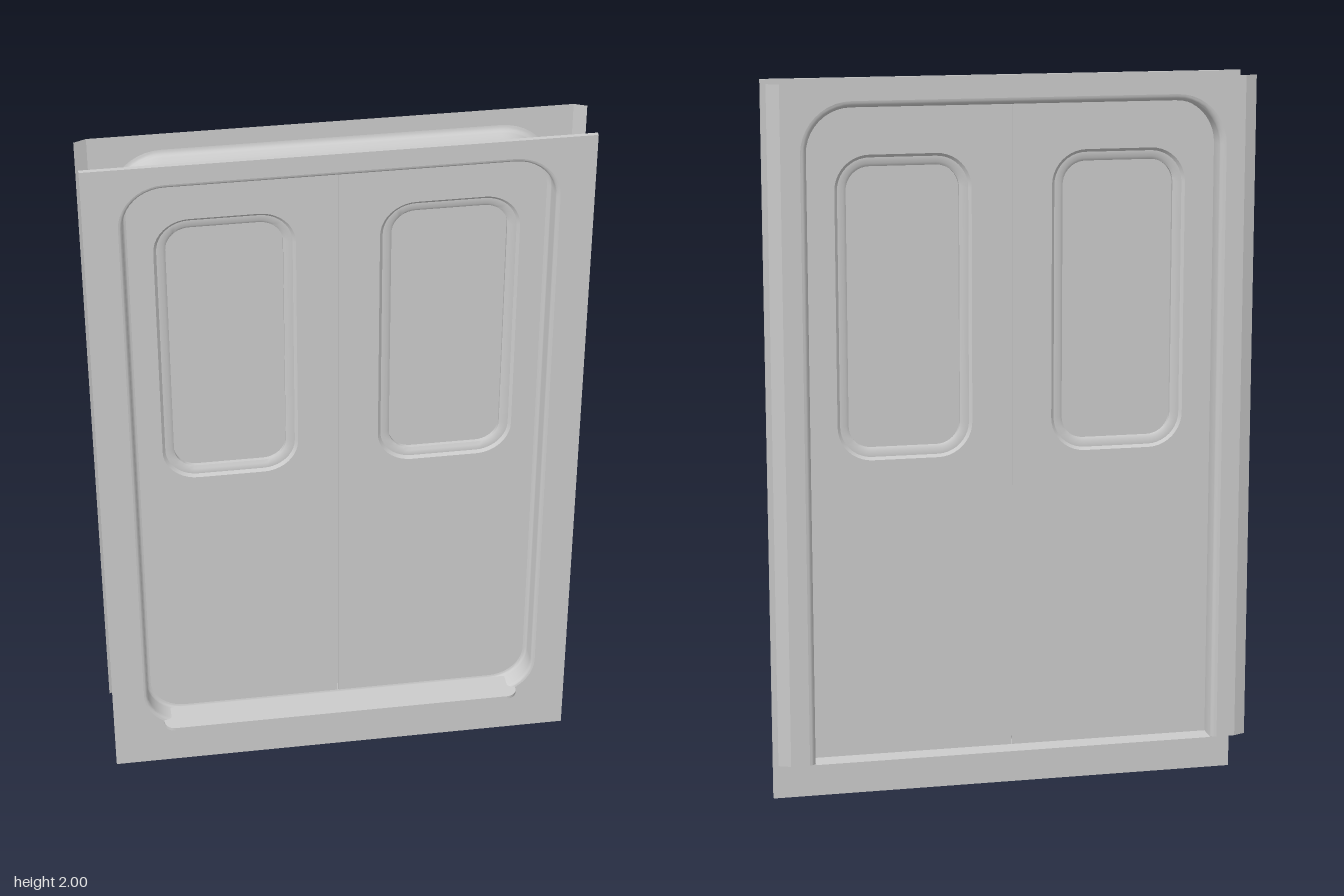
import * as THREE from 'three';
import { toCreasedNormals } from 'three/addons/utils/BufferGeometryUtils.js';

const mat = new THREE.MeshStandardMaterial({ color: 0xcccccc, side: THREE.DoubleSide });

// Rounded rectangle outline; "arch" leaves the bottom square and open
function outline(x0, x1, y0, y1, r, arch = false) {
  const pts = [];
  const corner = (cx, cy, a) => {
    for (let i = 0; i <= 10; i++) {
      const t = a + (i / 10) * Math.PI / 2;
      pts.push(new THREE.Vector2(cx + r * Math.cos(t), cy + r * Math.sin(t)));
    }
  };
  if (arch) pts.push(new THREE.Vector2(x1, y0));
  corner(x1 - r, y1 - r, 0);
  corner(x0 + r, y1 - r, Math.PI / 2);
  if (arch) pts.push(new THREE.Vector2(x0, y0));
  else {
    corner(x0 + r, y0 + r, Math.PI);
    corner(x1 - r, y0 + r, Math.PI * 1.5);
  }
  return pts;
}

// Skin through copies of an outline, each grown by an offset and set at a depth
function loft([x0, x1, y0, y1, r], profile, arch = false) {
  const pos = [], index = [];
  let n = 0;
  for (const [o, z] of profile) {
    const ring = outline(x0 - o, x1 + o, arch ? y0 : y0 - o, y1 + o, r + o, arch);
    n = ring.length;
    ring.forEach((p) => pos.push(p.x, p.y, z));
  }
  for (let j = 0; j < profile.length - 1; j++) {
    for (let i = 0; i < (arch ? n - 1 : n); i++) {
      const a = j * n + i, b = j * n + (i + 1) % n;
      index.push(a, b, b + n, a, b + n, a + n);
    }
  }
  const g = new THREE.BufferGeometry();
  g.setAttribute('position', new THREE.Float32BufferAttribute(pos, 3));
  g.setIndex(index);
  g.computeVertexNormals();
  return toCreasedNormals(g, 0.6);
}

// Quarter-round steps of a profile
function fillet(o, z, ro, rz, a0, a1) {
  return Array.from({ length: 6 }, (_, i) => {
    const t = a0 + (a1 - a0) * i / 5;
    return [o + ro * Math.cos(t), z + rz * Math.sin(t)];
  });
}

export function createModel() {
  const model = new THREE.Group();
  model.name = 'doubleDoorway';
  const add = (name, geo, parent = model) => {
    const m = new THREE.Mesh(geo, mat);
    m.name = name;
    parent.add(m);
    return m;
  };
  const Q = Math.PI / 2;
  const frontRect = [-0.558, 0.558, 0.143, 1.935, 0.11];
  const backRect = [-0.56, 0.56, 0.143, 1.935, 0.12];
  const grow = ([x0, x1, y0, y1, r], o) => [x0 - o, x1 + o, y0 - o, y1 + o, r + o];

  // Front plate with its rounded opening
  const plate = new THREE.Shape(
    [[-0.66, 0], [0.66, 0], [0.66, 2], [-0.66, 2]].map((p) => new THREE.Vector2(...p)));
  plate.holes.push(new THREE.Path(outline(...grow(frontRect, 0.012))));
  add('frontPlate', new THREE.ExtrudeGeometry(plate, { depth: 0.012, bevelEnabled: false }))
    .position.z = 0.05;

  // Pressed reveal from the front plate back to the doors
  add('frontReveal', loft(frontRect, [
    ...fillet(0.012, 0.05, 0.012, 0.012, Q, Math.PI),
    ...fillet(-0.012, 0.015, 0.012, 0.012, 0, -Q)]));

  // Back flange, open at the bottom
  const flange = new THREE.Shape([
    [0.63, 0.143], [0.63, 2], [-0.63, 2], [-0.63, 0.143],
  ].map((p) => new THREE.Vector2(...p)).concat(
    outline(-0.578, 0.578, 0.143, 1.953, 0.138, true).reverse()));
  add('backFlange', new THREE.ShapeGeometry(flange)).position.z = -0.102;
  for (const s of [-1, 1]) {
    // Bent outer edge of the flange
    const edge = new THREE.PlaneGeometry(Math.hypot(0.033, 0.014), 1.857);
    edge.rotateY(-s * Math.atan2(0.014, 0.033));
    edge.translate(s * 0.6465, 1.0715, -0.095);
    add(s > 0 ? 'leftFlangeEdge' : 'rightFlangeEdge', edge);
  }

  // Reveal from the back flange forward to the doors
  add('backReveal', loft(backRect, [
    ...fillet(0.018, -0.084, 0.018, 0.018, -Q, -Math.PI),
    [0, -0.042]], true));

  // Door skins, split at the middle, with a window opening in each
  const win = [0.11, 0.48, 0.977, 1.805, 0.095];
  const mirrored = (pts, s) => pts.map((p) => new THREE.Vector2(p.x * s, p.y));
  const skin = (pts, s) => {
    const half = pts.filter((p) => p.x > 0);
    const ys = half.map((p) => p.y);
    half.sort((a, b) => Math.atan2(a.y - 1, a.x) - Math.atan2(b.y - 1, b.x));
    const loop = [new THREE.Vector2(0.001, Math.min(...ys)), ...half,
      new THREE.Vector2(0.001, Math.max(...ys))];
    const shape = new THREE.Shape(mirrored(loop, s));
    shape.holes.push(new THREE.Path(mirrored(outline(...win), s)));
    return new THREE.ExtrudeGeometry(shape, { depth: 0.004, bevelEnabled: false });
  };
  for (const s of [1, -1]) {
    const door = new THREE.Group();
    door.name = s > 0 ? 'leftDoor' : 'rightDoor';
    model.add(door);
    add('frontSkin', skin(outline(...grow(frontRect, -0.012)), s), door).position.z = -0.001;
    add('backSkin', skin(outline(...backRect, true), s), door).position.z = -0.042;

    // Stepped window surround running through the door, and its pane
    const [x0, x1, y0, y1, r] = win;
    const rect = s > 0 ? win : [-x1, -x0, y0, y1, r];
    add('windowSurround', loft(rect, [
      [0, 0.003], [-0.008, -0.004], [-0.024, -0.004], [-0.032, -0.009],
      [-0.032, -0.03], [-0.024, -0.035], [-0.008, -0.035], [0, -0.042]]), door);
    const pane = new THREE.ShapeGeometry(new THREE.Shape(outline(...grow(rect, -0.032))));
    add('windowPane', pane, door).position.z = -0.019;
  }

  // Threshold sheet under the doors
  const floor = new THREE.PlaneGeometry(1.12, 0.102);
  floor.rotateX(-Q);
  floor.translate(0, 0.143, -0.051);
  add('threshold', floor);

  // Step ledge projecting from the front, with rounded corners
  const ledge = new THREE.Shape(outline(-0.515, 0.515, -0.1, -0.01, 0.03, true)
    .map((p) => new THREE.Vector2(p.x, p.y === -0.1 ? -0.1 : p.y)));
  const ledgeGeo = new THREE.ExtrudeGeometry(ledge, { depth: 0.01, bevelEnabled: false });
  ledgeGeo.rotateX(Q);
  ledgeGeo.translate(0, 0.153, 0.11);
  add('stepLedge', ledgeGeo);

  return model;
}
